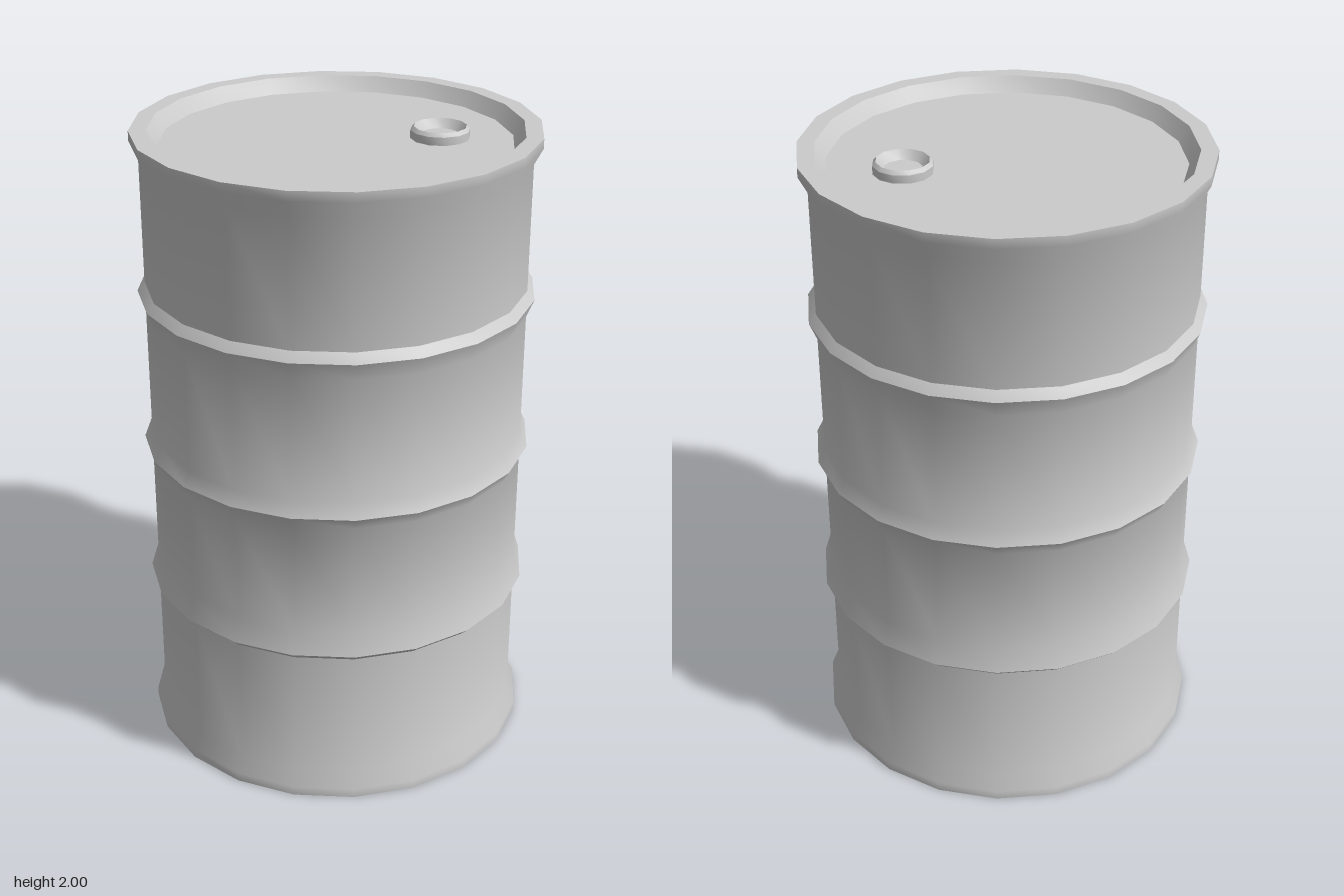
import * as THREE from 'three';
import { toCreasedNormals } from 'three/addons/utils/BufferGeometryUtils.js';

const material = new THREE.MeshStandardMaterial({ color: 0xcccccc });

// Revolve a [radius, height] profile, smooth except at sharp edges
function turned(name, profile, sides) {
  const points = profile.map(([r, y]) => new THREE.Vector2(r, y));
  const geometry = toCreasedNormals(new THREE.LatheGeometry(points, sides), THREE.MathUtils.degToRad(35));
  const mesh = new THREE.Mesh(geometry, material);
  mesh.name = name;
  return mesh;
}

export function createModel() {
  const group = new THREE.Group();
  group.name = 'drum';

  const R = 0.59, rib = 0.613, rim = 0.616;
  // Rolling ribs: [lower edge, peak, upper edge]
  const ribs = [[0.503, 0.525, 0.6], [0.96, 1.0, 1.045], [1.44, 1.496, 1.525]];

  // Recessed bottom, flared rims, ribbed wall and recessed lid in one shell
  group.add(turned('barrelShell', [
    [0, 0.045], [0.532, 0.045], [0.564, 0], [rim, 0], [rim, 0.03], [R, 0.08],
    ...ribs.flatMap(([a, b, c]) => [[R, a], [rib, b], [R, c]]),
    [R, 1.92], [rim, 1.97], [rim, 2], [0.564, 2], [0.532, 1.955], [0, 1.955],
  ], 20));

  // Filler neck on the lid
  const bung = turned('fillerNeck', [
    [0.09, 0], [0.09, 0.025], [0.08, 0.036], [0.058, 0.01], [0, 0.01],
  ], 12);
  bung.position.set(0.31, 1.955, 0);
  group.add(bung);

  return group;
}
